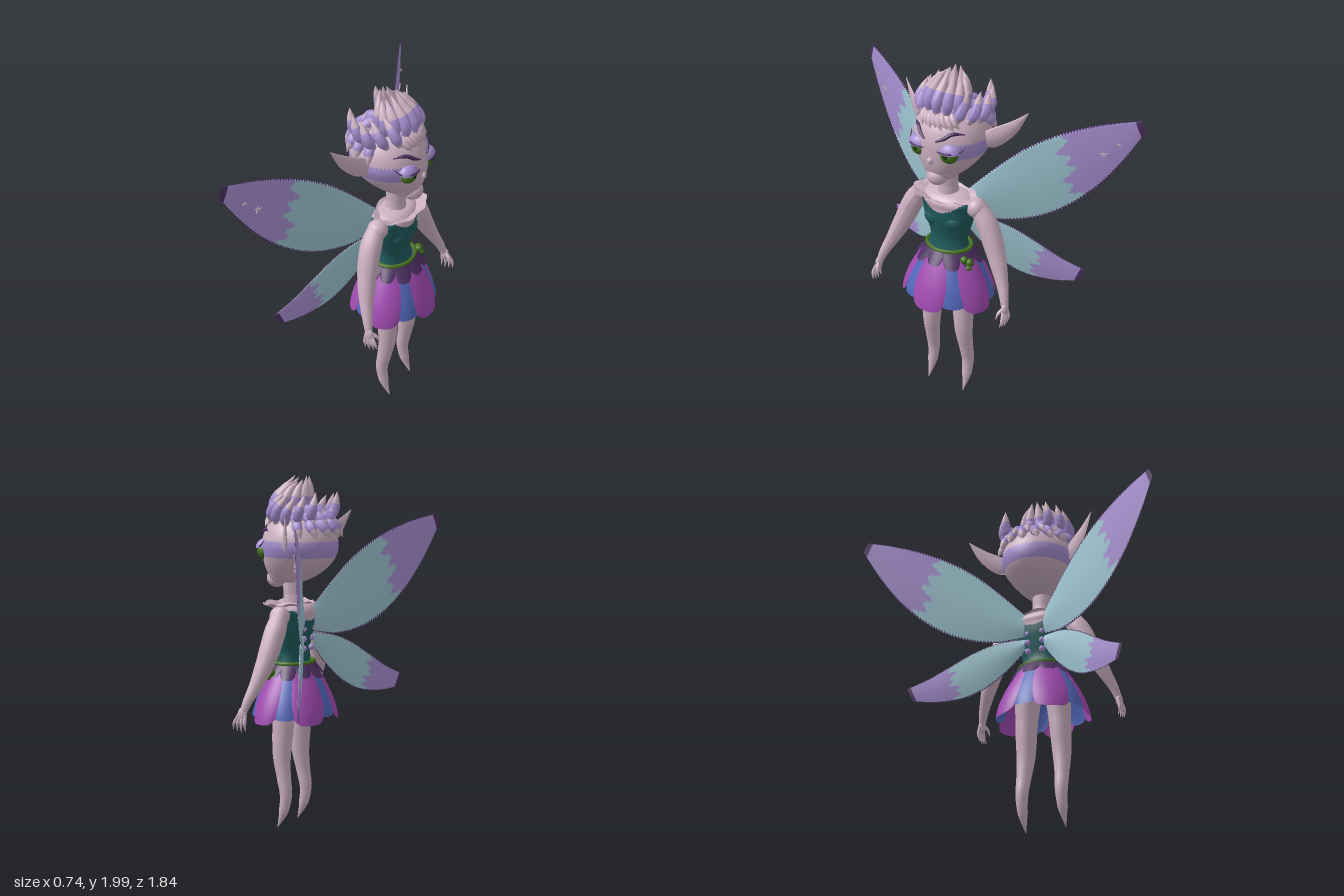
import * as THREE from 'three';
import { mergeVertices } from 'three/addons/utils/BufferGeometryUtils.js';
import { ParametricGeometry } from 'three/addons/geometries/ParametricGeometry.js';

const mat = (name, color, open) => {
  const m = new THREE.MeshStandardMaterial({ color });
  m.name = name;
  if (open) m.side = THREE.DoubleSide;
  return m;
};
const V = (x, y, z) => new THREE.Vector3(x, y, z);
const curve = pts => new THREE.CatmullRomCurve3(pts.map(p => V(p[0], p[1], p[2] || 0)));
const ball = (r, x, y, z, sx = 1, sy = 1, sz = 1) =>
  new THREE.SphereGeometry(r, 24, 16).scale(sx, sy, sz).translate(x, y, z);

// Sorts faces into material groups by a rule on face centre and uv
function paint(geo, rule) {
  const p = geo.attributes.position, t = geo.attributes.uv, idx = geo.index.array, bins = [];
  for (let i = 0; i < idx.length; i += 3) {
    const f = [idx[i], idx[i + 1], idx[i + 2]];
    const avg = (a, c) => f.reduce((s, k) => s + a.array[k * a.itemSize + c], 0) / 3;
    const k = rule(avg(p, 0), avg(p, 1), avg(p, 2), avg(t, 0), avg(t, 1));
    (bins[k] ||= []).push(...f);
  }
  geo.clearGroups();
  let start = 0;
  bins.forEach((b, k) => { geo.addGroup(start, b.length, k); start += b.length; });
  geo.setIndex(bins.flat());
  return geo;
}

// Tube whose radius follows a list of values
function limb(pts, radii, sides = 14, seg = 28) {
  const c = curve(pts), g = new THREE.TubeGeometry(c, seg, 1, sides), p = g.attributes.position, v = V(0, 0, 0);
  for (let i = 0; i < p.count; i++) {
    const u = Math.floor(i / (sides + 1)) / seg, f = u * (radii.length - 1), k = Math.min(Math.floor(f), radii.length - 2);
    const r = THREE.MathUtils.lerp(radii[k], radii[k + 1], f - k), o = c.getPointAt(u);
    v.fromBufferAttribute(p, i).sub(o).multiplyScalar(r).add(o);
    p.setXYZ(i, v.x, v.y, v.z);
  }
  g.computeVertexNormals();
  return g;
}

// Lens-shaped blade between a lower and an upper edge, lying on a slanted plane
function blade(lower, upper, thick, z0, slope, nu = 48) {
  const lo = curve(lower), up = curve(upper);
  const g = new ParametricGeometry((u, w, out) => {
    const v = w < 0.5 ? w * 2 : 2 - w * 2;
    out.lerpVectors(lo.getPoint(u), up.getPoint(u), v);
    const bulge = thick * Math.sin(Math.PI * v) * (1 - u * u * 0.9) + 0.0015;
    out.z = z0 + slope * out.x + (w < 0.5 ? bulge : -bulge);
  }, nu, 56);
  g.computeVertexNormals();
  return g;
}

function mirrored(geo) {
  const g = geo.clone().scale(-1, 1, 1), a = g.index.array;
  for (let i = 0; i < a.length; i += 3) [a[i], a[i + 1]] = [a[i + 1], a[i]];
  return g;
}

export function createModel() {
  const skin = mat('skin', 0xcbb0c0, true), lavender = mat('lavender', 0xa68fd0), teal = mat('teal', 0x1f5a5c),
    green = mat('green', 0x44701f), plum = mat('plum', 0x4c2f60, true), magenta = mat('magenta', 0xa04ab0, true),
    blue = mat('blue', 0x5267ba, true), aqua = mat('aqua', 0x9dc4d0), pupilDark = mat('pupil dark', 0x1e3314);
  const root = new THREE.Group(), body = new THREE.Group();
  root.name = 'fairy'; body.name = 'body';
  body.rotation.y = Math.PI / 2; // the figure looks along +x
  root.add(body);
  const add = (name, geo, m) => {
    const mesh = new THREE.Mesh(geo, m);
    mesh.name = name;
    body.add(mesh);
  };
  const both = (name, geo, m) => { add(name + 'Left', geo, m); add(name + 'Right', mirrored(geo), m); };

  // Head: ellipsoid narrowing to the jaw, with a painted band
  const head = new THREE.SphereGeometry(1, 64, 48), hp = head.attributes.position;
  for (let i = 0; i < hp.count; i++) {
    const y = hp.getY(i), t = Math.max(0, -y);
    hp.setXYZ(i, hp.getX(i) * 0.215 * (1 - 0.25 * t), 1.6 + y * 0.215, 0.09 + hp.getZ(i) * 0.215 + 0.08 * t * t);
  }
  head.deleteAttribute('normal');
  const headGeo = mergeVertices(head);
  headGeo.computeVertexNormals();
  add('head', paint(headGeo, (x, y, z) => (y > 1.545 && y < 1.637 && z < 0.25 ? 1 : 0)), [skin, lavender]);
  add('muzzle', ball(0.057, 0, 1.418, 0.238, 1.05, 0.95, 1), skin);
  add('jaw', ball(0.1, 0, 1.475, 0.19, 1.1, 0.95, 0.95), skin);
  add('nose', ball(0.018, 0, 1.53, 0.3, 1, 1.2, 1), skin);
  const faceZ = (x, y) => 0.09 + 0.215 * Math.sqrt(Math.max(0, 1 - (x / 0.215) ** 2 - ((y - 1.6) / 0.215) ** 2));
  const onFace = (pts, lift) => pts.map(([x, y]) => [x, y, faceZ(x, y) + lift]);

  // Eyes, lids, lashes and brows
  both('eye', ball(0.053, 0.094, 1.575, 0.26, 1, 0.9, 0.85), green);
  both('pupil', ball(0.024, 0.096, 1.577, 0.289, 1, 1, 0.72), pupilDark);
  both('eyelid', new THREE.SphereGeometry(0.064, 24, 12, 0, Math.PI * 2, 0, Math.PI * 0.47)
    .scale(1.05, 0.85, 0.8).rotateX(0.15).translate(0.097, 1.592, 0.257), lavender);
  both('lash', limb([[0.035, 1.592, 0.294], [0.075, 1.602, 0.313], [0.12, 1.602, 0.303], [0.16, 1.605, 0.258], [0.178, 1.64, 0.22]],
    [0.002, 0.005, 0.006, 0.005, 0.001], 8), plum);
  both('brow', limb(onFace([[0.035, 1.65], [0.07, 1.668], [0.11, 1.695], [0.16, 1.69]], 0.004),
    [0.004, 0.011, 0.01, 0.002], 8), plum);

  // Pointed ears
  both('ear', blade([[0.17, 1.58], [0.25, 1.58], [0.34, 1.66], [0.4, 1.783]], [[0.17, 1.65], [0.23, 1.69], [0.32, 1.735], [0.4, 1.788]],
    0.016, 0.19, -0.55, 20), skin);

  // Hair: tapered spikes with a coloured middle
  const hair = (name, pts, r, from = 0.15, to = 0.62) =>
    add(name, paint(limb(pts, [r * 0.5, r, r * 0.95, r * 0.6, 0.001], 9, 16), (x, y, z, u) => (u > from && u < to ? 1 : 0)), [skin, lavender]);
  const skull = (a, e, k) => [Math.sin(a) * Math.cos(e) * 0.212 * k, 1.6 + 0.212 * k * Math.sin(e), 0.09 + 0.215 * k * Math.cos(a) * Math.cos(e)];
  for (let i = 0; i < 11; i++) {
    const a = i / 11 * Math.PI * 2, s = Math.sin(a), c = Math.cos(a);
    hair('topSpike', [[0.1 * s, 1.77, 0.14 + 0.1 * c], [0.11 * s, 1.85, 0.14 + 0.095 * c], [0.09 * s, 1.92, 0.11 + 0.07 * c],
      [0.055 * s, 1.975 + 0.02 * Math.cos(a * 2), 0.08 + 0.04 * c]], 0.031, 0.1, 0.5);
  }
  for (const side of [-1, 1]) {
    for (let i = 0; i < 5; i++) {
      const a = side * (0.7 + i * 0.42), s = Math.sin(a), c = Math.cos(a), h = 0.03 * Math.abs(c);
      hair('sideSpike', [[0.165 * s, 1.72 + h, 0.09 + 0.165 * c], [0.2 * s, 1.78 + h, 0.07 + 0.17 * c],
        [0.195 * s, 1.84 + h, 0.04 + 0.15 * c], [0.19 * s, 1.88 + h, 0.02 + 0.13 * c]], 0.03);
    }
  }
  [[1.15, 5], [0.85, 7], [0.6, 8]].forEach(([e, n], row) => {
    for (let i = 0; i < n; i++) {
      const a = Math.PI + (i / (n - 1) - 0.5) * 2.7 + row * 0.08;
      hair('backSpike', [skull(a, e + 0.15, 0.97), skull(a, e, 1.06), skull(a + 0.06, e - 0.2, 1.1), skull(a + 0.1, e - 0.38, 1.13)], 0.03);
    }
  });
  for (let i = 0; i < 8; i++) {
    const a = -0.65 + i * 0.17;
    hair('fringe', [skull(a, 1.05, 0.98), skull(a + 0.05, 0.85, 1.05), skull(a + 0.15, 0.68, 1.07), skull(a + 0.27, 0.52 + 0.05 * (i % 2), 1.06)], 0.026, 0.1, 0.3);
  }

  // Neck and flared collar with a wavy rim
  add('neck', limb([[0, 1.22, 0.13], [0, 1.32, 0.135], [0, 1.44, 0.14]], [0.065, 0.054, 0.058]), skin);
  add('collar', new ParametricGeometry((u, v, out) => {
    const a = u * Math.PI * 2, r = 0.075 + 0.12 * v + 0.006 * v * Math.sin(a * 8);
    out.set(r * Math.sin(a), 1.24 + 0.045 * v + 0.006 * v * Math.cos(a * 8), 0.165 + r * 0.63 * Math.cos(a));
  }, 64, 6), skin);

  // Torso with a scooped bodice
  const profile = new THREE.SplineCurve([[0.13, 0.92], [0.115, 1], [0.134, 1.07], [0.156, 1.14], [0.163, 1.2], [0.168, 1.24], [0.12, 1.275], [0.03, 1.29]]
    .map(p => new THREE.Vector2(...p))).getPoints(48);
  const torso = new THREE.LatheGeometry(profile, 48).scale(1, 1, 0.65).translate(0, 0, 0.13);
  add('torso', paint(torso, (x, y) => (y > 1.25 || y > 1.185 + 4 * x * x ? 0 : 1)), [skin, teal]);
  both('bust', ball(0.06, 0.06, 1.125, 0.175, 1.1, 0.95, 0.9), teal);
  for (let i = 0; i < 4; i++) both('backBead', ball(0.018, 0.045, 1.03 + i * 0.055, 0.045), lavender);

  // Arms and hands
  both('shoulder', ball(0.057, 0.178, 1.222, 0.125), skin);
  both('arm', limb([[0.17, 1.25, 0.12], [0.25, 1.13, 0.12], [0.31, 1, 0.135], [0.37, 0.87, 0.165], [0.415, 0.77, 0.2], [0.43, 0.72, 0.215]],
    [0.045, 0.06, 0.058, 0.048, 0.033, 0.02]), skin);
  both('palm', ball(0.03, 0.434, 0.705, 0.22, 0.6, 1.3, 0.9), skin);
  for (let i = 0; i < 4; i++) {
    const z = 0.2 + i * 0.014;
    both('finger', limb([[0.437, 0.7, z], [0.445, 0.655, z + 0.008 * i], [0.436, 0.605 + 0.008 * Math.abs(i - 1), z + 0.011 * i]],
      [0.009, 0.01, 0.002], 8, 10), skin);
  }
  both('thumb', limb([[0.43, 0.72, 0.23], [0.415, 0.69, 0.26], [0.41, 0.66, 0.27]], [0.009, 0.01, 0.002], 8, 10), skin);

  // Hips and tapering legs
  add('hips', ball(0.14, 0, 0.85, 0.135, 1.1, 0.8, 0.72), skin);
  both('leg', limb([[0.09, 0.85, 0.14], [0.105, 0.6, 0.145], [0.112, 0.42, 0.15], [0.118, 0.3, 0.135], [0.121, 0.2, 0.12], [0.122, 0.1, 0.135], [0.122, 0.005, 0.173]],
    [0.085, 0.072, 0.063, 0.059, 0.052, 0.042, 0.036, 0.028, 0.002], 18, 40), skin);

  // Petal skirt: five wide petals over five narrower ones, and a scalloped yoke
  const petal = (angle, half, bottom, lift) => new ParametricGeometry((u, v, out) => {
    const s = u * 2 - 1, a = angle + s * half * (0.85 + 0.15 * Math.sin(Math.PI * v));
    const y = 0.95 - v * (0.95 - bottom - 0.035 * s * s * s * s);
    const r = 0.118 + 0.137 * Math.sin(Math.min(1, (0.95 - y) / 0.33) * 1.45) + lift + 0.016 * v * (1 - s * s);
    out.set(r * 1.05 * Math.sin(a), y, 0.13 + r * 0.9 * Math.cos(a));
  }, 14, 14);
  for (let i = 0; i < 5; i++) {
    const a = i * Math.PI * 0.4;
    add('widePetal', petal(a, 0.46, 0.62, 0), magenta);
    add('narrowPetal', petal(a + Math.PI * 0.2, 0.42, 0.65, -0.012), blue);
  }
  for (let i = 0; i < 10; i++) add('yokePetal', petal(i * Math.PI * 0.2, 0.36, i % 2 ? 0.865 : 0.875, 0.006), plum);

  // Vine belt with a small knot
  add('belt', new THREE.TorusGeometry(0.127, 0.012, 10, 48).rotateX(Math.PI / 2).scale(1.03, 1, 0.85).translate(0, 0.948, 0.13), green);
  [[0.15, 0.915, 0.2, 0.022], [0.175, 0.9, 0.185, 0.024], [0.18, 0.875, 0.2, 0.016]].forEach(([x, y, z, r]) => add('beltKnot', ball(r, x, y, z), green));

  // Wings: pale root, ragged coloured end, dark rim and tip
  const wingPaint = split => (x, y, z, u, w) => {
    const v = w < 0.5 ? w * 2 : 2 - w * 2;
    if (u > 0.97 || v < 0.02 || v > 0.985) return 2;
    return u > split + 0.025 * Math.sin(v * 31) + 0.02 * Math.sin(v * 13 + 1) ? 1 : 0;
  };
  const wingMats = [aqua, lavender, plum];
  both('upperWing', paint(blade([[0.06, 1.12], [0.22, 1.09], [0.4, 1.12], [0.55, 1.2], [0.7, 1.34], [0.82, 1.51], [0.92, 1.69]],
    [[0.06, 1.26], [0.2, 1.41], [0.33, 1.53], [0.47, 1.62], [0.62, 1.685], [0.76, 1.725], [0.895, 1.75]], 0.016, 0.076, -0.48, 64), wingPaint(0.56)), wingMats);
  both('lowerWing', paint(blade([[0.06, 1.04], [0.15, 0.92], [0.25, 0.82], [0.36, 0.755], [0.5, 0.728], [0.63, 0.735]],
    [[0.06, 1.11], [0.2, 1.085], [0.32, 1.03], [0.43, 0.955], [0.55, 0.87], [0.66, 0.81]], 0.012, 0.076, -0.48, 64), wingPaint(0.64)), wingMats);

  // Small star flecks on the upper wings
  const star = new THREE.Shape();
  for (let i = 0; i < 10; i++) {
    const a = i * Math.PI / 5, r = i % 2 ? 0.008 : 0.022;
    star[i ? 'lineTo' : 'moveTo'](Math.sin(a) * r, Math.cos(a) * r);
  }
  [[0.73, 1.545, 1], [0.8, 1.61, 0.5]].forEach(([x, y, s]) => both('wingFleck', new THREE.ExtrudeGeometry(star, { depth: 0.006, bevelEnabled: false })
    .scale(s, s, 1).rotateY(0.45).translate(x, y, 0.076 - 0.48 * x + 0.01).toNonIndexed() && fleck(star, s, x, y), skin));
  return root;
}

// Thin indexed plate lying on the wing plane
function fleck(shape, s, x, y) {
  return mergeVertices(new THREE.ExtrudeGeometry(shape, { depth: 0.006, bevelEnabled: false })
    .scale(s, s, 1).rotateY(-Math.atan(-0.48)).translate(x, y, 0.076 - 0.48 * x + 0.009));
}
